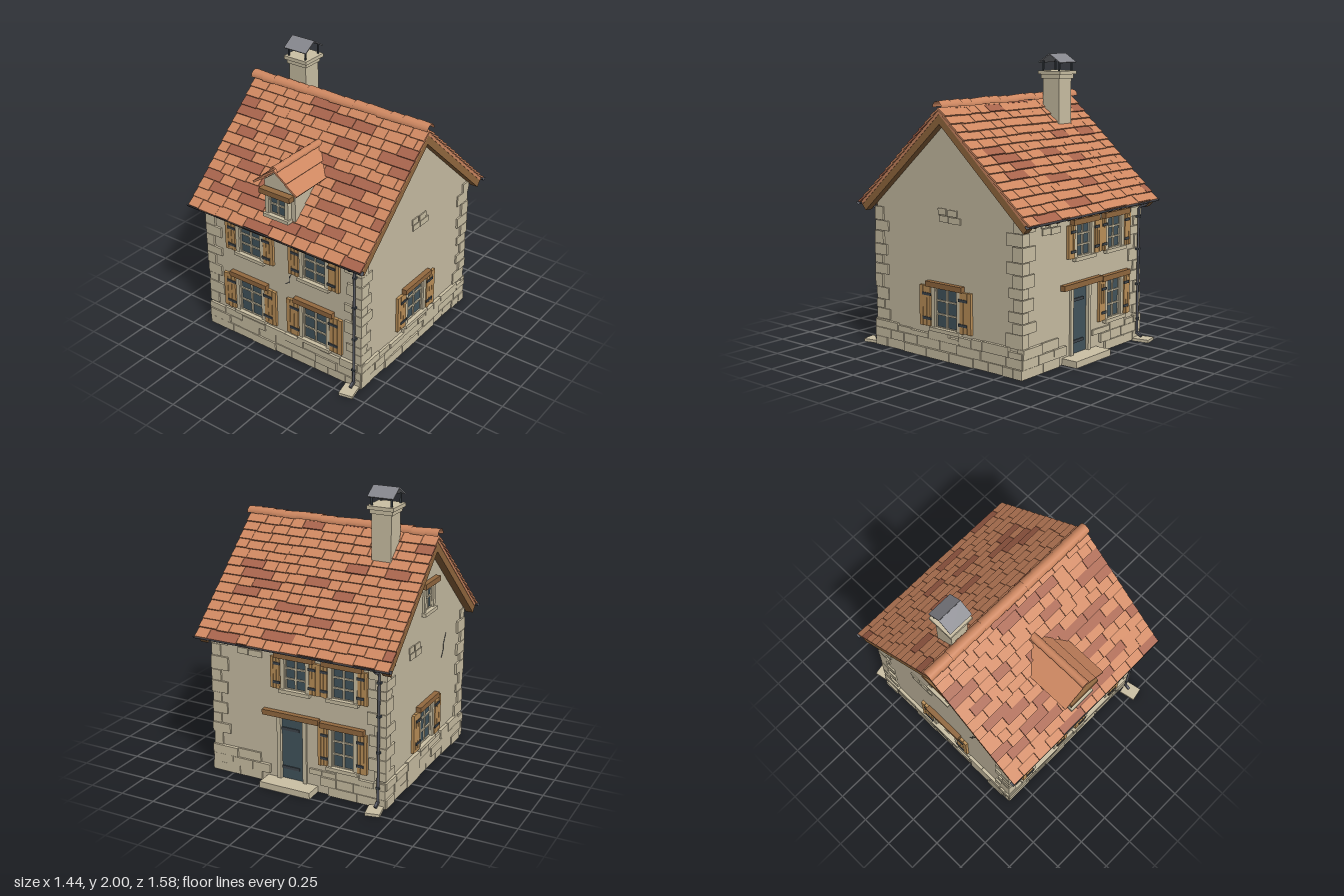
import * as THREE from 'three';
import { mergeGeometries } from 'three/addons/utils/BufferGeometryUtils.js';

const mat = (name, color, side = THREE.FrontSide) => {
  const m = new THREE.MeshStandardMaterial({ color, side });
  m.name = name;
  return m;
};

export function createModel() {
  const M = {
    plaster: mat('plaster', 0xc9bea4),
    stone: mat('stone', 0xccc1a5),
    tile: mat('terracotta', 0xcf8861, THREE.DoubleSide),
    darkTile: mat('dark terracotta', 0xa8644c),
    beam: mat('beam wood', 0x93693f),
    shutter: mat('shutter wood', 0xbd9159),
    glass: mat('glass', 0x42545d),
    iron: mat('iron', 0x3f464c),
    zinc: mat('zinc', 0x55575f, THREE.DoubleSide),
    metal: mat('hood metal', 0x86878d),
  };
  let seed = 7;
  const rnd = (a = 0, b = 1) => {
    seed = (seed * 16807) % 2147483647;
    return a + (b - a) * seed / 2147483647;
  };

  const house = new THREE.Group();
  house.name = 'house';
  const group = (parent, name) => {
    const g = new THREE.Group();
    g.name = name;
    parent.add(g);
    return g;
  };
  const add = (parent, name, geo, m, x = 0, y = 0, z = 0) => {
    const mesh = new THREE.Mesh(geo, m);
    mesh.name = name;
    mesh.position.set(x, y, z);
    parent.add(mesh);
    return mesh;
  };
  const box = (parent, name, m, w, h, d, x, y, z) =>
    add(parent, name, new THREE.BoxGeometry(w, h, d), m, x, y, z);
  const block = (w, h, d, x, y, z, tilt = 0) =>
    new THREE.BoxGeometry(w, h, d).rotateX(tilt).translate(x, y, z);

  // ---- openings: glass, glazing bars, stone surround, lintel, shutters
  const W = 0.64;
  function opening(side, o) {
    const { x, y0, y1, w, lintel, sh = 0, cols = 2, rows = 3, z = W } = o;
    const h = y1 - y0, cy = (y0 + y1) / 2;
    const g = group(side, o.door ? 'door' : 'window');
    box(g, o.door ? 'doorPanel' : 'glass', M.glass, w, h, 0.008, x, cy, z - 0.014);
    for (const s of [-1, 1]) box(g, 'jamb', M.stone, 0.028, h, 0.04, x + s * (w / 2 + 0.012), cy, z - 0.006);
    box(g, 'lintel', M.beam, lintel, 0.037, 0.05, x, y1 + 0.018, z + 0.012);
    if (o.door) {
      for (const t of [0.18, 0.8]) box(g, 'doorStrap', M.iron, w * 0.8, 0.02, 0.008, x - w * 0.1, y0 + h * t, z - 0.007);
      box(g, 'doorStep', M.stone, 0.38, 0.045, 0.13, x, 0.0225, z + 0.055);
      return;
    }
    box(g, 'sill', M.stone, w + 0.07, 0.025, 0.05, x, y0 - 0.012, z + 0.005);
    for (let i = 0; i <= cols; i++) {
      const t = i % cols ? 0.012 : 0.018;
      box(g, 'glazingBar', M.stone, t, h, 0.012, x - w / 2 + w * i / cols, cy, z - 0.006);
    }
    for (let i = 0; i <= rows; i++) box(g, 'glazingBar', M.stone, w, 0.011, 0.012, x, y0 + h * i / rows, z - 0.006);
    if (sh) for (const s of [-1, 1]) {
      const cx = x + s * (w / 2 + 0.03 + sh / 2);
      for (let i = -1; i <= 1; i++)
        box(g, 'shutterBoard', M.shutter, sh / 3 - 0.003, h + rnd(-0.006, 0.008), 0.02, cx + i * sh / 3, cy, z + 0.01);
      for (const t of [0.2, 0.8])
        box(g, 'shutterStrap', M.iron, sh * 0.75, 0.018, 0.008, cx - s * sh * 0.2, y0 + h * t, z + 0.022);
    }
  }

  const low = (x, w = 0.2, sh = 0.1) => ({ x, y0: 0.215, y1: 0.49, w, sh, lintel: 0.32 });
  const high = (x, w = 0.185, sh = 0.085) => ({ x, y0: 0.7, y1: 0.92, w, sh, lintel: 0.29 });
  const sides = [
    { name: 'front', rot: 0, openings: [low(-0.28), low(0.27), high(-0.27), high(0.27)],
      crack: [[0.02, 0.585], [0.055, 0.61], [0.06, 0.66], [0.09, 0.7]] },
    { name: 'right', rot: Math.PI / 2, gable: true, openings: [low(0)], bare: [0.03, 0.97] },
    { name: 'back', rot: Math.PI, bare: [-0.36, 0.93],
      openings: [{ x: -0.04, y0: 0.045, y1: 0.5, w: 0.17, lintel: 0.42, door: true },
        low(0.34, 0.16, 0.07), high(-0.01, 0.16, 0.07), high(0.34, 0.16, 0.07)] },
    { name: 'left', rot: -Math.PI / 2, gable: true, bare: [-0.2, 0.94],
      openings: [low(0), { x: 0, y0: 1.17, y1: 1.34, w: 0.13, lintel: 0.24, rows: 2 }],
      crack: [[0.26, 0.74], [0.29, 0.79], [0.29, 0.83], [0.33, 0.9]] },
  ];

  // ---- the four walls, each built facing +z and turned into place
  for (const s of sides) {
    const g = group(house, s.name + 'Side');
    g.rotation.y = s.rot;
    const pts = [[-W, 0], [W, 0], [W, 1.045]];
    if (s.gable) pts.push([0, 1.63]);
    pts.push([-W, 1.045]);
    const shape = new THREE.Shape(pts.map(p => new THREE.Vector2(...p)));
    for (const { x, y0, y1, w } of s.openings)
      shape.holes.push(new THREE.Path([[-1, y0], [-1, y1], [1, y1], [1, y0]].map(([k, y]) => new THREE.Vector2(x + k * w / 2, y))));
    add(g, 'wall', new THREE.ExtrudeGeometry(shape, { depth: 0.04, bevelEnabled: false }), M.plaster, 0, 0, W - 0.04);
    s.openings.forEach(o => opening(g, o));

    // rubble plinth, leaving the doorway free
    const door = s.openings.find(o => o.door);
    const stones = [];
    for (let r = 0; r < 3; r++) {
      for (let x = -0.655; x < 0.64;) {
        const w = Math.min(rnd(0.09, 0.22), 0.655 - x);
        const h = 0.065 + (r === 2 ? rnd(-0.03, 0.005) : 0);
        if (!door || x > door.x + 0.11 || x + w < door.x - 0.11)
          stones.push(block(w - 0.004, h - 0.003, 0.05, x + w / 2, r * 0.065 + h / 2, W - 0.012 + rnd(0, 0.012)));
        x += w;
      }
    }
    // stones showing through the plaster
    if (s.bare) [[-0.03, 0.025, 0.08], [0.06, 0.03, 0.07], [-0.05, -0.022, 0.1], [0.045, -0.018, 0.08]].forEach(([x, y, w]) =>
      stones.push(block(w, 0.042, 0.012, s.bare[0] - x, s.bare[1] + y, W + 0.002)));
    add(g, 'stonework', mergeGeometries(stones), M.stone);

    // plaster crack
    if (s.crack) for (let i = 1; i < s.crack.length; i++) {
      const [ax, ay] = s.crack[i - 1], [bx, by] = s.crack[i];
      box(g, 'crack', M.iron, 0.004, Math.hypot(bx - ax, by - ay), 0.003, (ax + bx) / 2, (ay + by) / 2, W + 0.001)
        .rotation.z = -Math.atan2(bx - ax, by - ay);
    }
  }

  // ---- quoins with alternating long and short faces
  const quoins = [];
  for (const sx of [-1, 1]) for (const sz of [-1, 1])
    for (let i = 0, y = 0.19; y < 0.95; i++) {
      const h = Math.min(rnd(0.06, 0.1), 1.0 - y), long = rnd(0.11, 0.14), short = rnd(0.065, 0.085);
      const [a, b] = i % 2 ? [long, short] : [short, long];
      const e = W + rnd(0.008, 0.016);
      quoins.push(block(a, h - 0.004, b, sx * (e - a / 2), y + h / 2, sz * (e - b / 2)));
      y += h;
    }
  add(house, 'quoins', mergeGeometries(quoins), M.stone);

  // ---- roof: two slopes of lapped tiles on decking
  const RISE = 0.675, RUN = 0.745, LEN = Math.hypot(RISE, RUN), ANGLE = Math.atan2(RISE, RUN), ROWS = 14;
  const halfPipe = (r0, r1, len, start, n = 6) =>
    new THREE.CylinderGeometry(r0, r1, len, n, 1, true, start, Math.PI).rotateZ(Math.PI / 2);
  for (const [name, rot] of [['front', 0], ['back', Math.PI]]) {
    const g = group(house, name + 'Roof');
    g.rotation.y = rot;
    const slope = group(g, 'slope');
    slope.position.y = 1.675;
    slope.rotation.x = ANGLE;
    box(slope, 'decking', M.tile, 1.40, 0.02, LEN - 0.01, 0, -0.017, LEN / 2);
    const tiles = [[], []], step = LEN / ROWS;
    for (let r = 0; r < ROWS; r++)
      for (let x = -0.71; x < 0.70;) {
        let w = Math.min(rnd(0.08, 0.15), 0.71 - x);
        const dark = rnd() < 0.13 ? 1 : 0;
        if (dark) w = Math.min(w * 1.6, 0.71 - x);
        if (0.71 - x - w < 0.04) w = 0.71 - x;
        tiles[dark].push(block(w - 0.003, 0.012, step + 0.012, x + w / 2, rnd(-0.001, 0.002), (r + 0.5) * step + rnd(-0.003, 0.005), -0.13));
        x += w;
      }
    add(slope, 'tiles', mergeGeometries(tiles[0]), M.tile);
    add(slope, 'darkTiles', mergeGeometries(tiles[1]), M.darkTile);
    for (const s of [-1, 1]) box(slope, 'bargeBoard', M.beam, 0.055, 0.05, LEN, s * 0.67, -0.05, LEN / 2);
    for (let i = -5; i <= 5; i++) box(slope, 'rafterTail', M.beam, 0.03, 0.04, 0.15, i * 0.115, -0.045, LEN - 0.09);

    // gutter, downpipe and splash stone
    add(g, 'gutter', halfPipe(0.018, 0.018, 1.44, Math.PI), M.zinc, 0, 1.0, 0.743);
    add(g, 'downpipe', new THREE.CylinderGeometry(0.009, 0.009, 0.9, 8), M.zinc, 0.605, 0.49, 0.668);
    const pipe = new THREE.CatmullRomCurve3([[0.605, 0.985, 0.74], [0.605, 0.965, 0.72], [0.605, 0.95, 0.68], [0.605, 0.93, 0.668]].map(p => new THREE.Vector3(...p)));
    add(g, 'pipeElbow', new THREE.TubeGeometry(pipe, 8, 0.009, 8), M.zinc);
    box(g, 'pipeShoe', M.zinc, 0.018, 0.018, 0.05, 0.605, 0.04, 0.685).rotation.x = 0.5;
    for (const y of [0.15, 0.4, 0.65, 0.88]) box(g, 'pipeClip', M.iron, 0.026, 0.014, 0.035, 0.605, y, 0.66);
    box(g, 'splashStone', M.stone, 0.1, 0.02, 0.12, 0.605, 0.01, 0.72).rotation.y = 0.2;
  }
  const ridge = group(house, 'ridgeTiles');
  for (let i = 0; i < 15; i++)
    add(ridge, 'ridgeTile', halfPipe(0.045, 0.04, 0.104, 0), M.tile, -0.665 + i * 0.095, 1.682 + rnd(-0.003, 0.003), 0);

  // ---- dormer
  const dormer = group(house, 'dormer');
  const face = new THREE.Shape([[-0.125, 1.05], [0.125, 1.05], [0.125, 1.345], [0, 1.44], [-0.125, 1.345]].map(p => new THREE.Vector2(...p)));
  add(dormer, 'dormerBody', new THREE.ExtrudeGeometry(face, { depth: 0.445, bevelEnabled: false }), M.plaster, 0, 0, 0.2);
  opening(dormer, { x: 0, y0: 1.125, y1: 1.27, w: 0.135, lintel: 0.25, rows: 2, z: 0.668 });
  for (const s of [-1, 1]) {
    const g = group(dormer, 'dormerSlope');
    g.position.y = 1.462;
    g.rotation.z = -s * 0.607;
    box(g, 'upperCourse', M.tile, 0.115, 0.014, 0.5, s * 0.057, 0, 0.45);
    box(g, 'lowerCourse', M.tile, 0.115, 0.014, 0.495, s * 0.162, -0.008, 0.45);
  }
  const dormerRidge = group(dormer, 'dormerRidge');
  dormerRidge.rotation.y = -Math.PI / 2;
  for (let i = 0; i < 5; i++)
    add(dormerRidge, 'ridgeTile', halfPipe(0.027, 0.031, 0.105, 0), M.tile, 0.265 + i * 0.096, 1.464, 0);

  // ---- chimney with a folded metal hood on four posts
  const chimney = group(house, 'chimney');
  chimney.position.set(-0.382, 0, -0.117);
  box(chimney, 'shaft', M.stone, 0.14, 0.54, 0.14, 0, 1.57, 0);
  box(chimney, 'lowerCollar', M.stone, 0.16, 0.03, 0.16, 0, 1.84, 0);
  box(chimney, 'upperCollar', M.stone, 0.19, 0.025, 0.19, 0, 1.867, 0);
  for (const sx of [-1, 1]) for (const sz of [-1, 1])
    box(chimney, 'hoodPost', M.iron, 0.011, 0.07, 0.011, sx * 0.07, 1.913, sz * 0.07);
  for (const s of [-1, 1])
    box(chimney, 'hoodPlate', M.metal, 0.185, 0.007, 0.111, 0, 1.966, s * 0.047).rotation.x = s * 0.56;

  return house;
}
